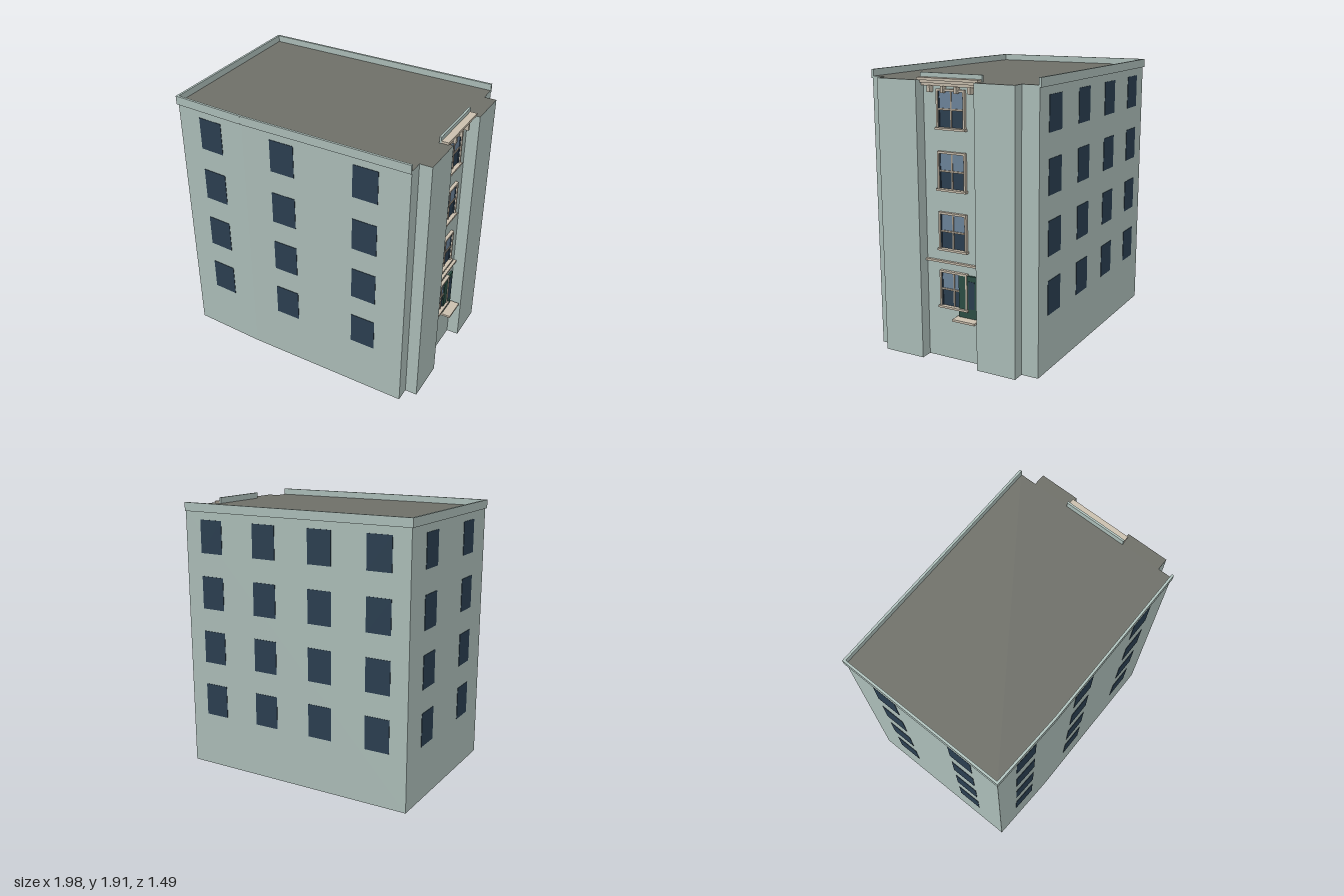
import * as THREE from 'three';

const mat = (color) => new THREE.MeshStandardMaterial({ color, flatShading: true });
const M = {
  wall: mat(0xb0c2bd), roof: mat(0x6e6f68), glass: mat(0x2c4052), pane: mat(0x6f879e),
  trim: mat(0xcabfae), sash: mat(0xa89d8e), green: mat(0x2c4f45),
};

// box given by its ranges along the wall (u), up (y) and outward (w)
function block(parent, name, material, u0, u1, y0, y1, w0, w1) {
  const mesh = new THREE.Mesh(new THREE.BoxGeometry(u1 - u0, y1 - y0, w1 - w0), material);
  mesh.position.set((u0 + u1) / 2, (y0 + y1) / 2, (w0 + w1) / 2);
  mesh.name = name;
  parent.add(mesh);
  return mesh;
}

// group whose x runs along the wall from a to b and whose z points outward
function wallFrame(name, a, b) {
  const g = new THREE.Group();
  g.name = name;
  g.position.set(a[0], 0, a[1]);
  g.rotation.y = Math.atan2(a[1] - b[1], b[0] - a[0]);
  g.userData.length = Math.hypot(b[0] - a[0], b[1] - a[1]);
  return g;
}

// two-over-two sash window with casing and sill
function sashWindow(u, y) {
  const g = new THREE.Group();
  g.name = 'sashWindow';
  g.position.set(u, y, 0);
  block(g, 'lowerGlass', M.glass, -0.095, 0.095, 0.015, 0.13, 0, 0.006);
  block(g, 'upperGlass', M.pane, -0.095, 0.095, 0.13, 0.245, 0, 0.008);
  block(g, 'meetingRail', M.sash, -0.095, 0.095, 0.124, 0.136, 0, 0.014);
  block(g, 'mullion', M.sash, -0.005, 0.005, 0.015, 0.245, 0, 0.012);
  for (const s of [-1, 1]) {
    block(g, 'jamb', M.trim, s * 0.099 - 0.006, s * 0.099 + 0.006, 0.012, 0.25, 0, 0.022);
    block(g, 'sashStile', M.glass, s * 0.09 - 0.003, s * 0.09 + 0.003, 0.015, 0.245, 0, 0.013);
  }
  block(g, 'head', M.trim, -0.105, 0.105, 0.244, 0.258, 0, 0.022);
  block(g, 'sill', M.trim, -0.112, 0.112, 0, 0.014, 0, 0.032);
  return g;
}

export function createModel() {
  const model = new THREE.Group();
  model.name = 'building';
  const TOP = 1.87;

  // main corners, counter-clockwise from the front left
  const frontLeft = [-0.8, 0.73], bend = [-0.28, 0.67], frontRight = [0.915, 0.48];
  const backRight = [0.72, -0.735], backLeft = [-0.99, -0.46];

  // entrance facade frame and its two piers
  const facade = wallFrame('facade', frontRight, backRight);
  const piers = [[0.1, 0.4], [0.826, 1.11]], pierDepth = 0.085;
  facade.updateMatrix();
  const onFacade = (u, w) => {
    const p = new THREE.Vector3(u, 0, w).applyMatrix4(facade.matrix);
    return [p.x, p.z];
  };
  const steps = piers.flatMap(([a, b]) =>
    [onFacade(a, 0), onFacade(a, pierDepth), onFacade(b, pierDepth), onFacade(b, 0)]);

  // body: footprint with piers, extruded up to the roof
  const outline = [frontLeft, bend, frontRight, ...steps, backRight, backLeft];
  const shape = new THREE.Shape(outline.map(([x, z]) => new THREE.Vector2(x, -z)));
  const bodyGeo = new THREE.ExtrudeGeometry(shape, { depth: TOP, bevelEnabled: false });
  bodyGeo.rotateX(-Math.PI / 2);
  const body = new THREE.Mesh(bodyGeo, [M.roof, M.wall]);
  body.name = 'body';
  model.add(body);

  // plain walls: parapet band and rows of flat windows
  const rows = [0.385, 0.78, 1.175, 1.57];
  const plain = [
    ['frontWallLeft', frontLeft, bend, [0.5], 0.01, 0],
    ['frontWallRight', bend, frontRight, [0.25, 0.75], 0, 0],
    ['backWall', backRight, backLeft, [0.125, 0.375, 0.625, 0.875], 0, 0.01],
    ['leftWall', backLeft, frontLeft, [0.25, 0.75], 0.01, 0.01],
  ];
  for (const [name, a, b, spots, startExtra, endExtra] of plain) {
    const g = wallFrame(name, a, b);
    const len = g.userData.length;
    block(g, 'parapet', M.wall, -startExtra, len + endExtra, 1.855, 1.915, -0.006, 0.01);
    for (const t of spots) for (const y of rows)
      block(g, 'window', M.glass, t * len - 0.089, t * len + 0.089, y, y + 0.232, -0.004, 0.003);
    model.add(g);
  }

  // recessed bay: sash windows and string course
  for (const y of [0.363, 0.76, 1.16, 1.557]) facade.add(sashWindow(0.612, y));
  block(facade, 'stringCourse', M.trim, 0.4, 0.826, 0.673, 0.687, 0, 0.02);

  // cornice with brackets, and the low parapet above it
  block(facade, 'corniceFrieze', M.trim, 0.4, 0.826, 1.832, 1.85, 0, 0.025);
  block(facade, 'corniceBed', M.trim, 0.4, 0.826, 1.85, 1.868, 0, 0.042);
  block(facade, 'corniceTop', M.trim, 0.388, 0.838, 1.868, 1.885, 0, 0.058);
  block(facade, 'bayParapet', M.wall, 0.385, 0.842, 1.86, 1.913, -0.004, 0.01);
  for (const u of [0.463, 0.563, 0.663, 0.763])
    block(facade, 'bracket', M.trim, u - 0.01, u + 0.01, 1.792, 1.835, 0, 0.04);

  // green ground-floor panel beside the lowest window, with a deep sill
  block(facade, 'greenPanel', M.green, 0.651, 0.788, 0.318, 0.61, 0, 0.016);
  block(facade, 'greenPanelGlass', M.glass, 0.728, 0.772, 0.385, 0.575, 0, 0.018);
  block(facade, 'deepSill', M.trim, 0.636, 0.806, 0.303, 0.318, 0, 0.08);
  model.add(facade);

  return model;
}
